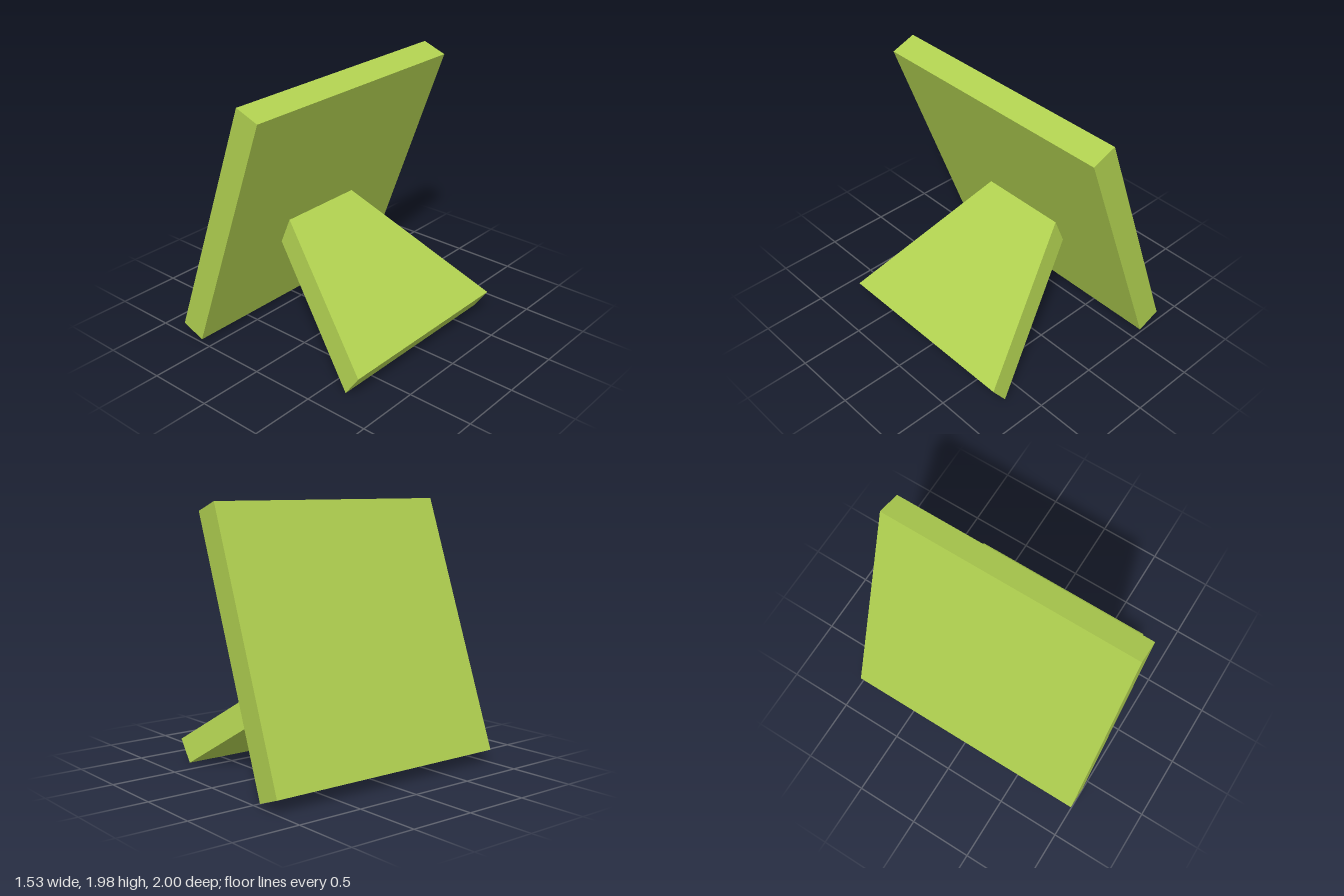
import * as THREE from 'three';

export function createModel() {
  const group = new THREE.Group();
  const material = new THREE.MeshStandardMaterial({ color: 0xb0d050, flatShading: true });

  // Square slab leaning toward +x
  const panel = new THREE.Mesh(new THREE.BoxGeometry(0.2, 2, 2), material);
  panel.name = 'panel';
  panel.position.set(-0.33, 1.01, 0);
  panel.rotation.z = THREE.MathUtils.degToRad(-20);
  group.add(panel);

  // Prop that widens toward its foot; its narrow end sits just inside the panel
  const outline = new THREE.Shape([
    new THREE.Vector2(-0.02, -0.343),
    new THREE.Vector2(1.26, -0.78),
    new THREE.Vector2(1.26, 0.78),
    new THREE.Vector2(-0.02, 0.343),
  ]);
  const propGeometry = new THREE.ExtrudeGeometry(outline, { depth: 0.2, bevelEnabled: false });
  propGeometry.rotateX(-Math.PI / 2).translate(0, -0.2, 0);
  const prop = new THREE.Mesh(propGeometry, material);
  prop.name = 'supportProp';
  prop.position.set(-0.27, 0.89, 0);
  prop.rotation.z = THREE.MathUtils.degToRad(-34.8);
  group.add(prop);

  return group;
}
